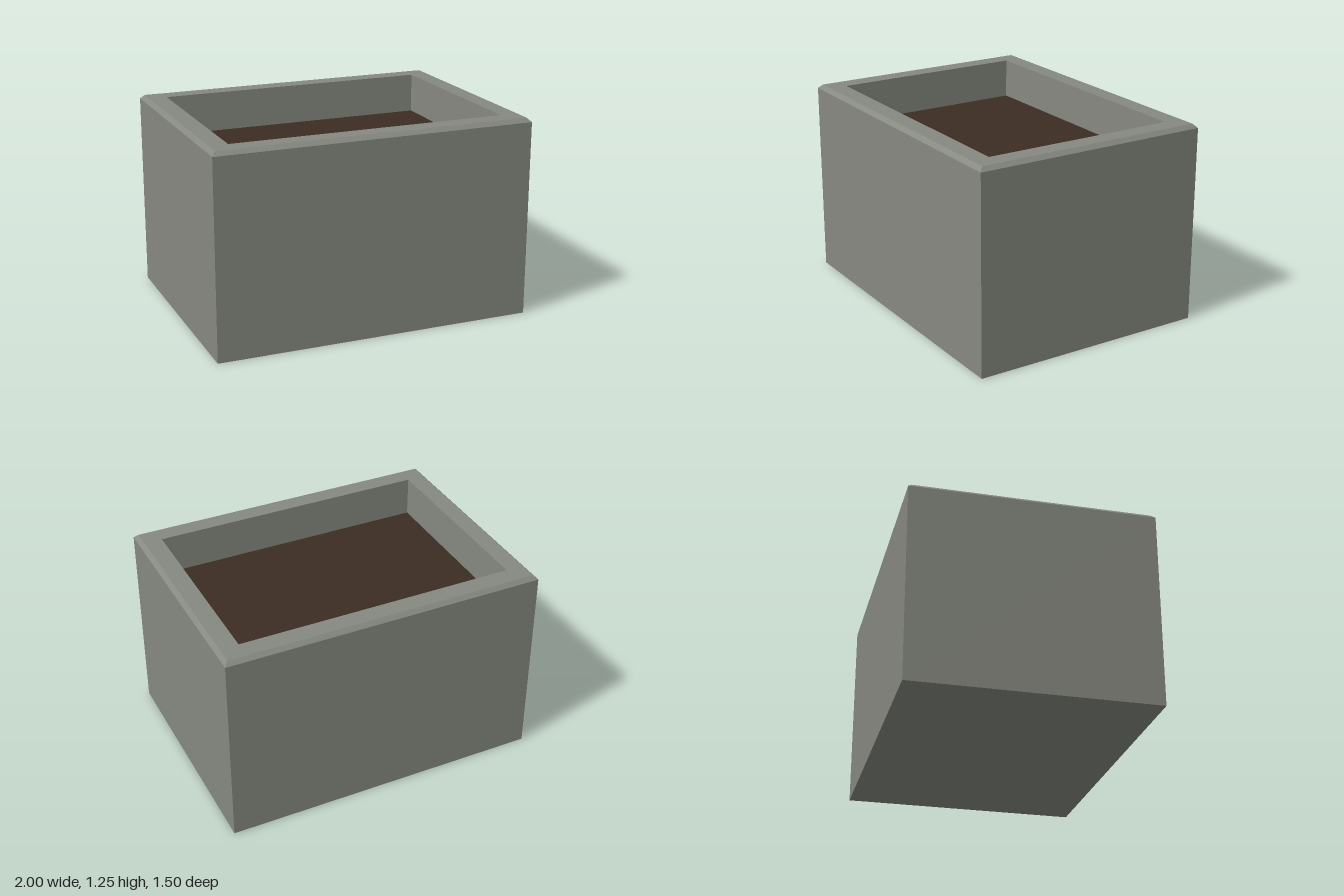
import * as THREE from 'three';

const stone = new THREE.MeshStandardMaterial({ color: 0x868980 });
stone.name = 'grey stone';
const earth = new THREE.MeshStandardMaterial({ color: 0x3c2c23 });
earth.name = 'dark brown soil';

// Rectangular rings [half width, half depth, height] joined by flat faces
function ringShell(rings) {
  const corners = [[-1, 1], [1, 1], [1, -1], [-1, -1]];
  const point = ([hx, hz, y], i) => [corners[i % 4][0] * hx, y, corners[i % 4][1] * hz];
  const positions = [];
  for (let r = 0; r < rings.length - 1; r++) {
    for (let i = 0; i < 4; i++) {
      const a = point(rings[r], i), b = point(rings[r], i + 1);
      const c = point(rings[r + 1], i + 1), d = point(rings[r + 1], i);
      positions.push(...a, ...b, ...c, ...a, ...c, ...d);
    }
  }
  const geometry = new THREE.BufferGeometry();
  geometry.setAttribute('position', new THREE.Float32BufferAttribute(positions, 3));
  geometry.computeVertexNormals();
  return geometry;
}

export function createModel() {
  const planter = new THREE.Group();
  planter.name = 'planter';

  const add = (name, geometry, material) => {
    const mesh = new THREE.Mesh(geometry, material);
    mesh.name = name;
    planter.add(mesh);
  };

  const hx = 1, hz = 0.75, height = 1.25;
  const bevel = 0.025, wall = 0.1375, soilLevel = 1.0;
  const inner = [hx - wall, hz - wall];

  // Outer walls, chamfered rim and inner walls in one profile
  add('walls', ringShell([
    [hx, hz, 0],
    [hx, hz, height - bevel],
    [hx - bevel, hz - bevel, height],
    [...inner, height],
    [...inner, soilLevel],
  ]), stone);

  // Underside
  add('base', new THREE.PlaneGeometry(2 * hx, 2 * hz).rotateX(Math.PI / 2), stone);

  // Recessed soil surface
  add('soil', new THREE.PlaneGeometry(2 * inner[0], 2 * inner[1])
    .rotateX(-Math.PI / 2).translate(0, soilLevel, 0), earth);

  return planter;
}
